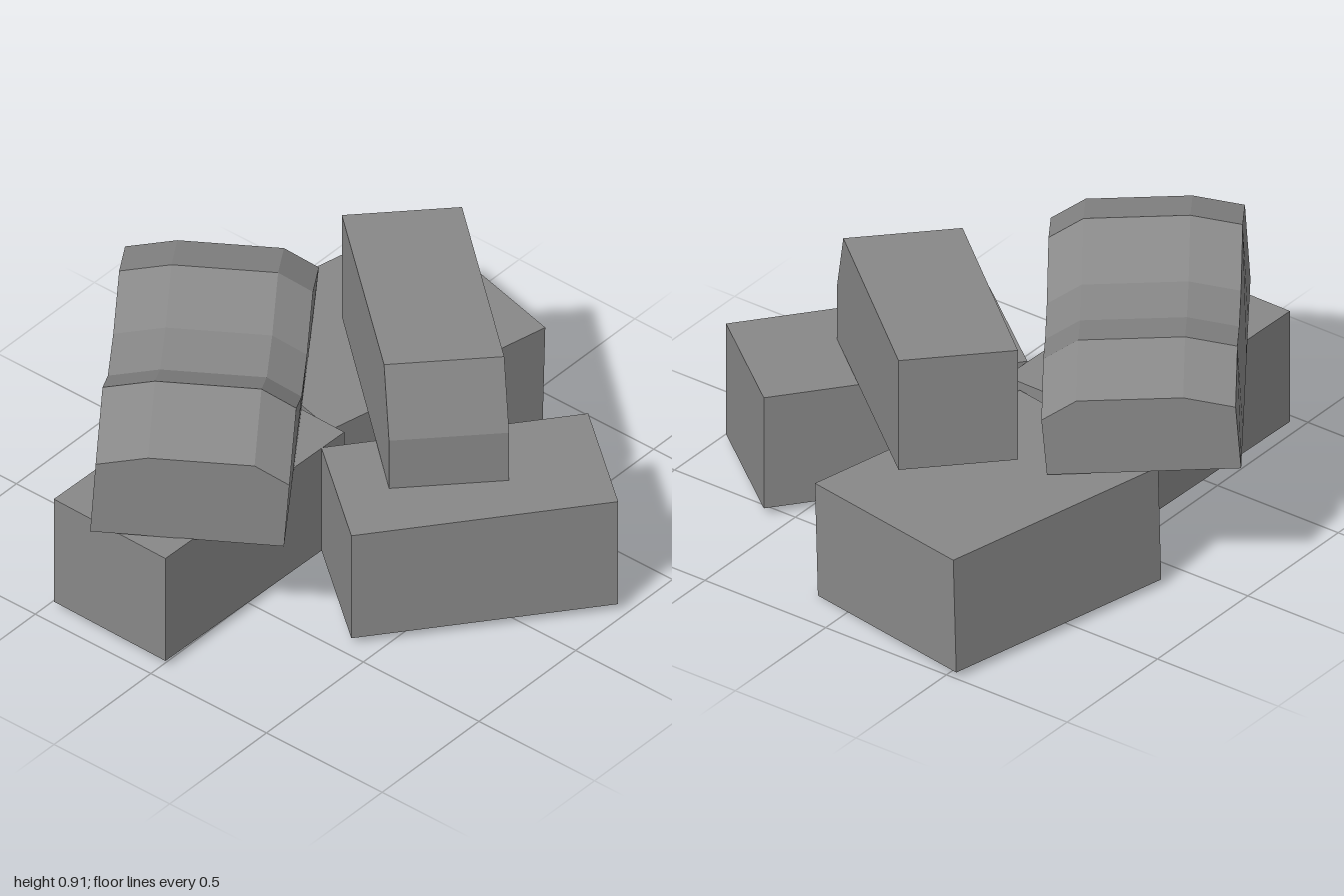
import * as THREE from 'three';

const material = new THREE.MeshStandardMaterial({ color: 0x888888, flatShading: true });

function addMesh(parent, name, geometry) {
  const mesh = new THREE.Mesh(geometry, material);
  mesh.name = name;
  parent.add(mesh);
  return mesh;
}

// Rectangular block lying on its base, turned by yaw and tipped by roll
function addBlock(parent, name, width, length, [x, y, z], yaw, roll = 0) {
  const block = addMesh(parent, name, new THREE.BoxGeometry(width, 0.43, length));
  block.position.set(x, y, z);
  block.rotation.set(0, yaw, roll, 'YXZ');
}

// Block with one sloped upper end, extruded from its side profile with slightly skewed ends
function wedgeGeometry() {
  const profile = [[0, 0.49], [0, 0.915], [0.81, 0.907], [0.905, 0.66], [0.905, 0.46]];
  const shape = new THREE.Shape(profile.map(p => new THREE.Vector2(...p)));
  const geometry = new THREE.ExtrudeGeometry(shape, { depth: 0.4, bevelEnabled: false });
  return geometry.applyMatrix4(new THREE.Matrix4().makeShear(0, 0, 0, 0, -0.065, 0));
}

// Two-humped block lofted from cross-sections along its length
function saddleGeometry() {
  const humps = [[0, 0.72], [0.2, 0.807], [0.4, 0.733], [0.585, 0.733], [0.765, 0.855], [1, 0.755]];
  const across = [[0, 0], [0.27, 0.035], [0.82, 0.02], [1, -0.055]];
  const at = (s, t, y, dx, dz) => [-0.953 + 0.71 * s + 0.52 * t + dx, y, -0.005 + s - 0.38 * t + dz];
  const rings = humps.map(([s, h]) => [
    at(s, 0, 0.485 - 0.015 * s, -0.017, 0.008),
    ...across.map(([t, dy]) => at(s, t, h + dy, 0, 0)),
    at(s, 1, 0.455 - 0.015 * s, -0.017, 0.008),
  ]);

  const positions = [];
  const tri = (...corners) => corners.forEach(c => positions.push(...c));
  const n = rings[0].length;
  for (let i = 0; i < rings.length - 1; i++) {
    const a = rings[i], b = rings[i + 1];
    for (let k = 0; k < n; k++) {
      const m = (k + 1) % n;
      tri(a[k], b[k], b[m]);
      tri(a[k], b[m], a[m]);
    }
  }
  // End caps
  const first = rings[0], last = rings[rings.length - 1];
  for (let k = 1; k < n - 1; k++) {
    tri(first[0], first[k], first[k + 1]);
    tri(last[0], last[k + 1], last[k]);
  }

  const geometry = new THREE.BufferGeometry();
  geometry.setAttribute('position', new THREE.Float32BufferAttribute(positions, 3));
  geometry.computeVertexNormals();
  return geometry;
}

export function createModel() {
  const model = new THREE.Group();
  model.name = 'blockPile';

  // Bottom layer
  addBlock(model, 'backBlock', 0.70, 0.90, [-0.287, 0.228, -0.485], -0.213, -0.035);
  addBlock(model, 'leftBlock', 0.487, 0.904, [0.5, 0.245, -0.05], -0.668);
  addBlock(model, 'frontBlock', 0.49, 0.905, [-0.222, 0.242, 0.486], -0.018);

  // Top layer
  const wedge = addMesh(model, 'slopedBlock', wedgeGeometry());
  wedge.position.set(-0.072, 0, -0.693);
  wedge.rotation.y = -0.70;
  addMesh(model, 'humpedBlock', saddleGeometry());

  return model;
}
